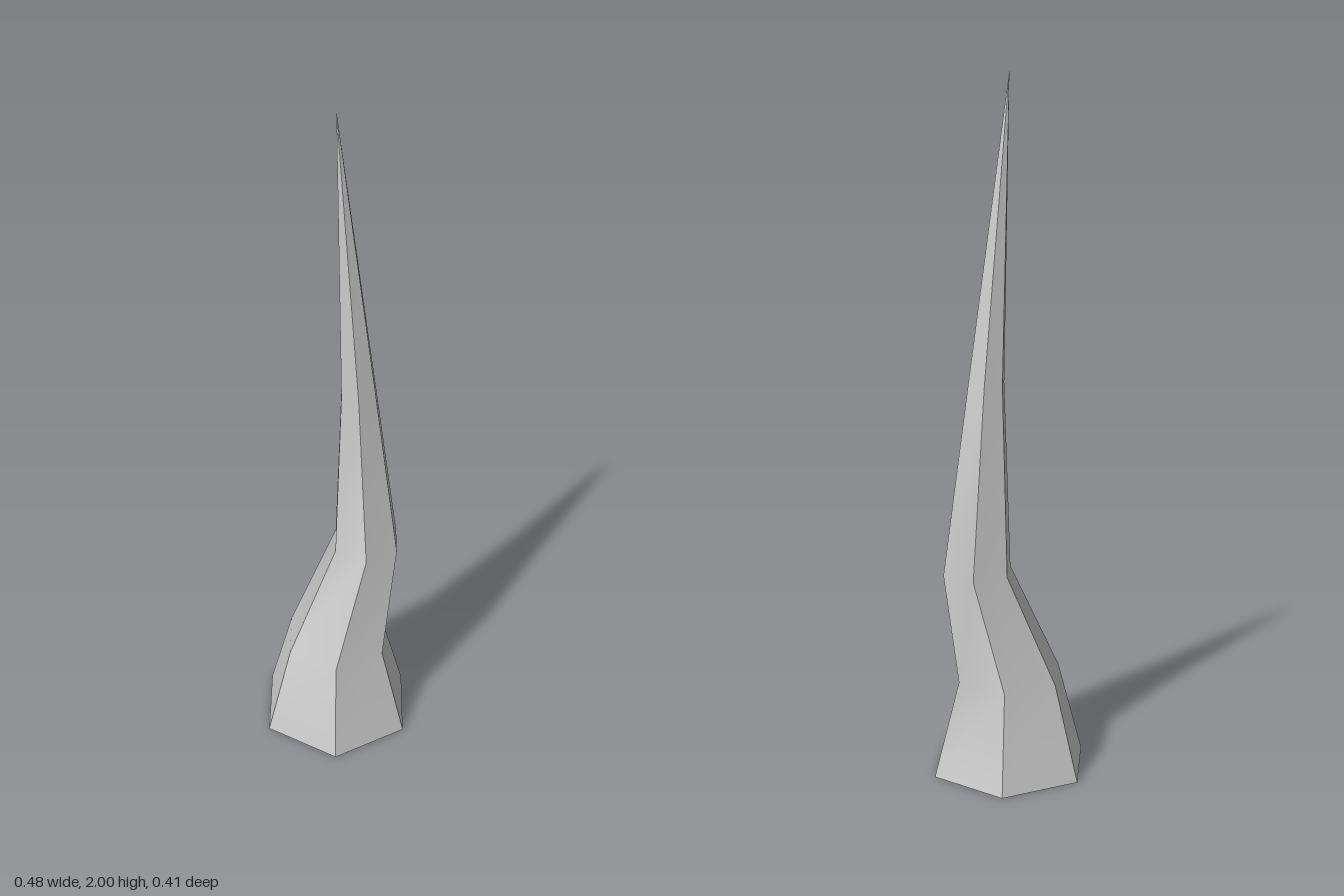
import * as THREE from 'three';

// Cross-sections from base to tip: [height, radius, sideways shift]
const RINGS = [
  [0, 0.238, 0],
  [0.28, 0.16, 0],
  [0.61, 0.104, 0.101],
  [1.15, 0.055, 0.071],
  [2, 0, 0],
];
const SIDES = 6;

// Each side is its own strip: sharp edges between sides, smooth along the length
function spikeGeometry() {
  const positions = [];
  const index = [];
  for (let s = 0; s < SIDES; s++) {
    const start = positions.length / 3;
    for (const [y, r, shift] of RINGS) {
      for (const k of [s, s + 1]) {
        const a = (k / SIDES) * Math.PI * 2;
        positions.push(shift + r * Math.cos(a), y, r * Math.sin(a));
      }
    }
    for (let i = 0; i < RINGS.length - 1; i++) {
      const p = start + i * 2;
      index.push(p, p + 2, p + 1);
      if (i < RINGS.length - 2) index.push(p + 1, p + 2, p + 3);
    }
  }
  const geometry = new THREE.BufferGeometry();
  geometry.setAttribute('position', new THREE.Float32BufferAttribute(positions, 3));
  geometry.setIndex(index);
  geometry.computeVertexNormals();
  // The second tip vertex of each strip is unused; give it its twin's normal
  const n = geometry.attributes.normal;
  const perSide = RINGS.length * 2;
  for (let s = 0; s < SIDES; s++) {
    const tip = s * perSide + perSide - 2;
    n.setXYZ(tip + 1, n.getX(tip), n.getY(tip), n.getZ(tip));
  }
  return geometry;
}

export function createModel() {
  const group = new THREE.Group();
  group.name = 'bentSpike';
  // Hollow shell, open at the base
  const material = new THREE.MeshStandardMaterial({ color: 0xcccccc, side: THREE.DoubleSide });
  const spike = new THREE.Mesh(spikeGeometry(), material);
  spike.name = 'spikeShell';
  group.add(spike);
  return group;
}
